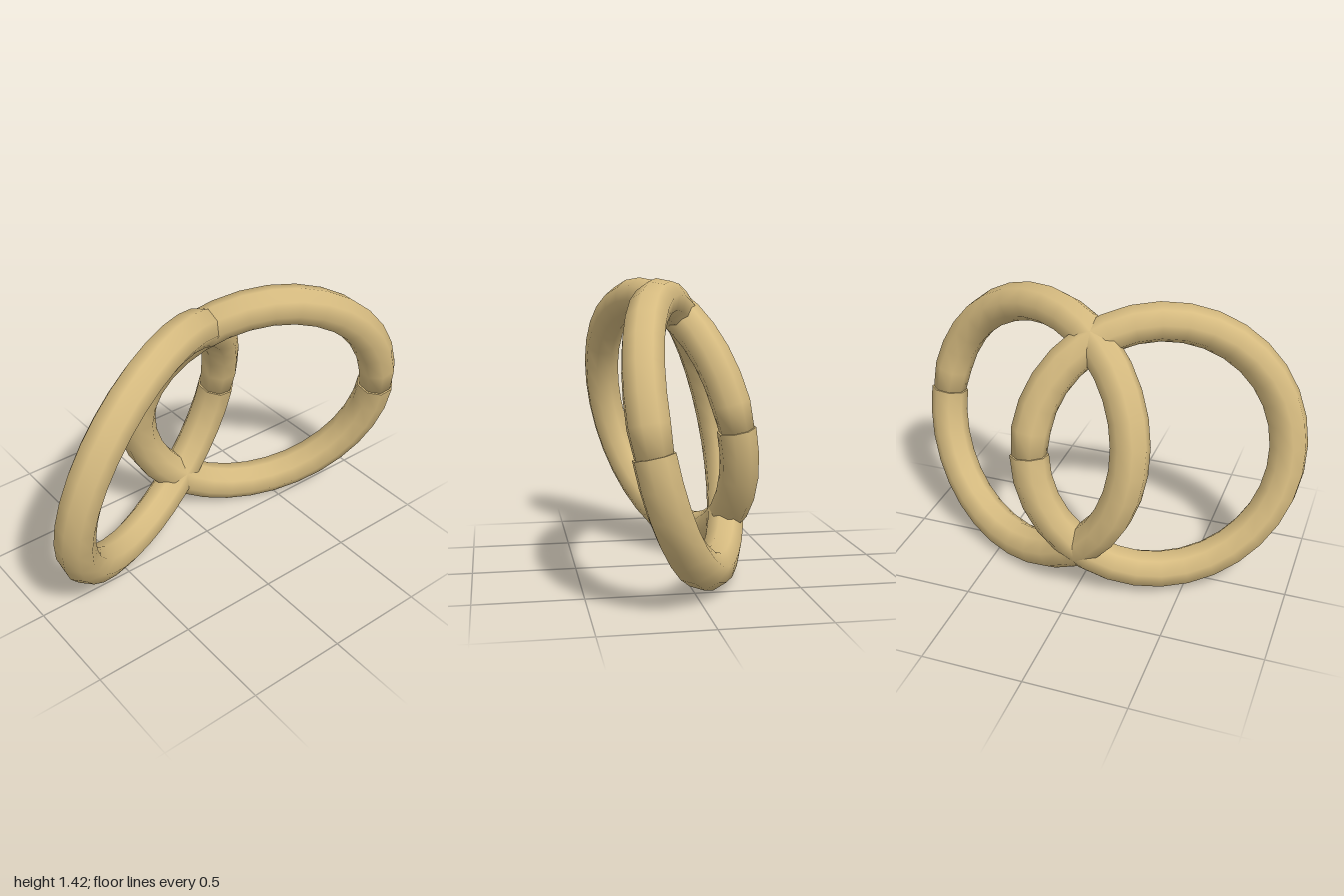
import * as THREE from 'three';

const RING = 0.63, TUBE = 0.095, SIDES = 8, SEGMENTS = 32, TAPER = 0.9;

// Ring whose tube narrows a little where it meets its own end
function ringGeometry() {
  const geo = new THREE.TorusGeometry(RING, TUBE, SIDES, SEGMENTS);
  const pos = geo.attributes.position, nor = geo.attributes.normal;
  const n = new THREE.Vector3();
  for (let j = 0; j <= SIDES; j++) {
    const k = j * (SEGMENTS + 1);
    pos.setXYZ(k, RING + (pos.getX(k) - RING) * TAPER, 0, pos.getZ(k) * TAPER);
    n.fromBufferAttribute(nor, k);
    n.y -= 0.5;
    n.normalize();
    nor.setXYZ(k, n.x, n.y, n.z);
  }
  return geo;
}

export function createModel() {
  const model = new THREE.Group();
  model.name = 'interlockedRings';
  const material = new THREE.MeshStandardMaterial({ color: 0xd6bb80 });
  const bandGeo = ringGeometry();
  // Narrow lip at the seam
  const lipGeo = new THREE.RingGeometry(TUBE * TAPER, TUBE, SIDES)
    .rotateX(-Math.PI / 2)
    .translate(RING, 0, 0);

  // Two rings crossing each other, turned opposite ways and leaning forward
  for (const side of [1, -1]) {
    const ring = new THREE.Group();
    ring.name = side > 0 ? 'leftRing' : 'rightRing';
    const band = new THREE.Mesh(bandGeo, material);
    band.name = 'band';
    const lip = new THREE.Mesh(lipGeo, material);
    lip.name = 'seamLip';
    ring.add(band, lip);
    ring.rotation.set(0.21, -0.405 * side, 0, 'YXZ');
    ring.position.set(0.33 * side, 0.71, 0);
    model.add(ring);
  }
  return model;
}
